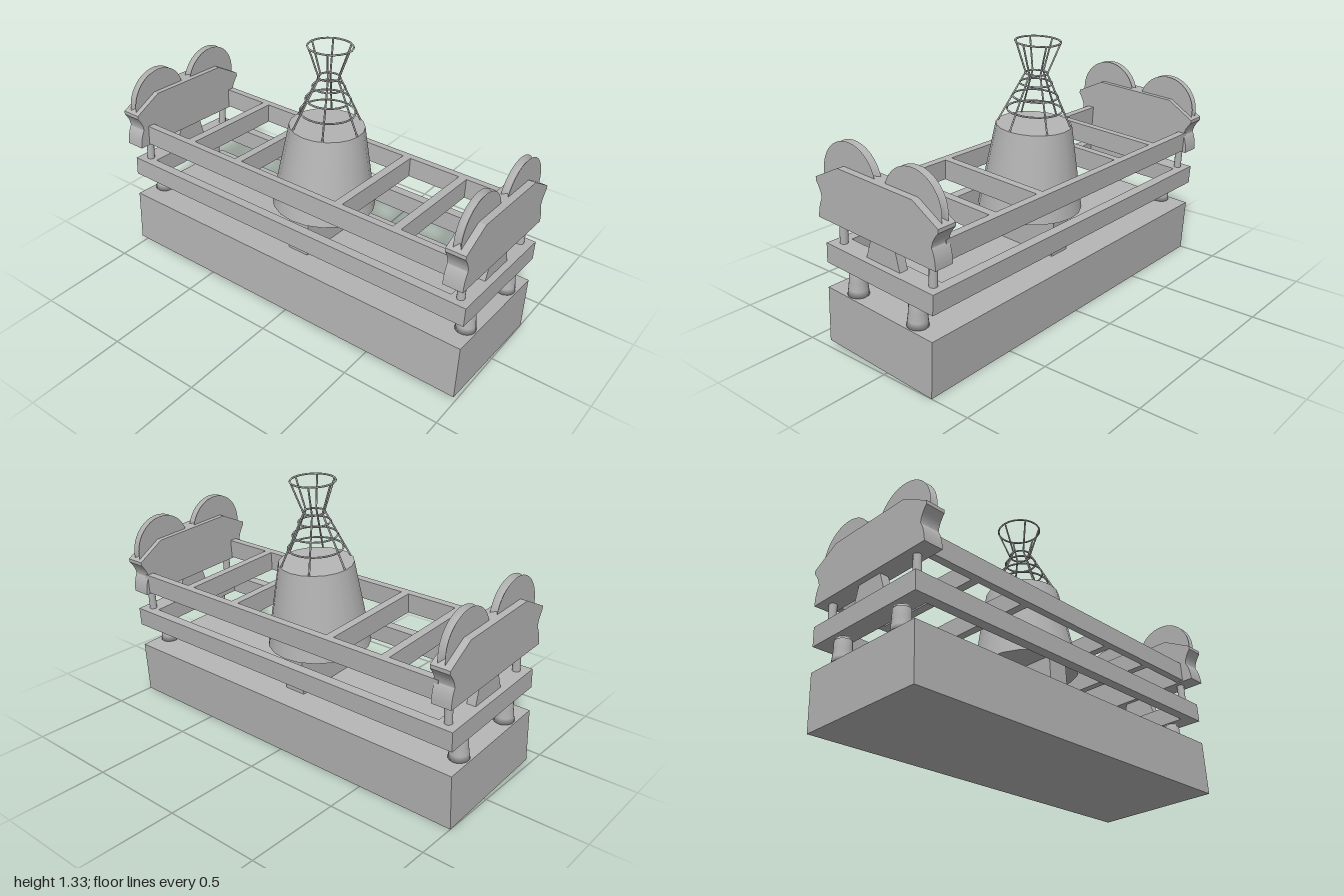
import * as THREE from 'three';

export function createModel() {
  const root = new THREE.Group();
  root.name = 'tiltedApparatus';
  const grey = new THREE.MeshStandardMaterial({ color: 0xb4b4b4 });
  grey.name = 'plain grey';

  // Everything sits in a group that leans back slightly
  const body = new THREE.Group();
  body.name = 'leaningBody';
  body.rotation.x = -0.061;
  body.position.set(0, 0.02, 0.0325);
  root.add(body);

  function add(name, geo, x = 0, y = 0, z = 0) {
    const m = new THREE.Mesh(geo, grey);
    m.name = name;
    m.position.set(x, y, z);
    body.add(m);
    return m;
  }
  // Box given by its extents
  function box(name, x0, x1, y0, y1, z0, z1) {
    return add(name, new THREE.BoxGeometry(x1 - x0, y1 - y0, z1 - z0),
      (x0 + x1) / 2, (y0 + y1) / 2, (z0 + z1) / 2);
  }
  // Side outline (z, y) given a thickness across x
  function sidePlate(shape, depth) {
    const g = new THREE.ExtrudeGeometry(shape, { depth, bevelEnabled: false, curveSegments: 8 });
    g.translate(0, 0, -depth / 2);
    g.rotateY(-Math.PI / 2);
    return g;
  }
  const points = (list) => list.map(([a, b]) => new THREE.Vector2(a, b));

  // Base block and central pedestal
  box('baseBlock', -1, 1, 0, 0.276, -0.328, 0.328);
  box('pedestal', -0.058, 0.058, 0.276, 0.48, -0.2, 0.2);

  // Lower frame
  for (const s of [-1, 1]) {
    box('lowerSideRail', -1, 1, 0.4, 0.496, s * 0.305 - 0.025, s * 0.305 + 0.025);
    box('lowerEndRail', s * 0.95 - 0.05, s * 0.95 + 0.05, 0.4, 0.496, -0.28, 0.28);
  }

  // Upper frame with cross bars
  for (const s of [-1, 1]) {
    box('upperSideRail', -0.92, 0.92, 0.612, 0.712, s * 0.303 - 0.019, s * 0.303 + 0.019);
  }
  for (const x of [-0.626, -0.316, 0.289, 0.605]) {
    box('crossBar', x - 0.021, x + 0.021, 0.612, 0.712, -0.286, 0.286);
  }

  // End assemblies
  const footGeo = new THREE.LatheGeometry(points([
    [0, 0], [0.049, 0], [0.045, 0.03], [0.041, 0.07], [0.04, 0.113],
    [0.034, 0.113], [0.034, 0.126], [0, 0.126]]), 24);
  const postGeo = new THREE.CylinderGeometry(0.019, 0.019, 0.13, 16);
  const wheelGeo = new THREE.LatheGeometry(points([
    [0, -0.018], [0.167, -0.018], [0.167, -0.018], [0.14, 0],
    [0.167, 0.018], [0.167, 0.018], [0, 0.018]]), 48);
  wheelGeo.rotateZ(Math.PI / 2);

  const cheek = new THREE.Shape();
  cheek.moveTo(-0.359, 0.605);
  cheek.lineTo(0.359, 0.605);
  cheek.quadraticCurveTo(0.357, 0.665, 0.336, 0.7);
  cheek.quadraticCurveTo(0.338, 0.735, 0.371, 0.775);
  cheek.lineTo(0.371, 0.793);
  cheek.lineTo(0.226, 0.872);
  cheek.lineTo(-0.226, 0.872);
  cheek.lineTo(-0.371, 0.793);
  cheek.lineTo(-0.371, 0.775);
  cheek.quadraticCurveTo(-0.338, 0.735, -0.336, 0.7);
  cheek.quadraticCurveTo(-0.357, 0.665, -0.359, 0.605);
  const cheekGeo = sidePlate(cheek, 0.098);
  const bracketGeo = sidePlate(new THREE.Shape(points([
    [-0.105, 0.49], [0.105, 0.49], [0.067, 0.615], [-0.067, 0.615]])), 0.045);

  for (const sx of [-1, 1]) {
    add('endBlock', cheekGeo, sx * 0.949, 0, 0.018);
    add('endBracket', bracketGeo, sx * 0.945, 0, 0);
    for (const sz of [-1, 1]) {
      add('foot', footGeo, sx * 0.945, 0.276, sz * 0.188);
      add('post', postGeo, sx * 0.945, 0.555, sz * 0.277);
      add('groovedWheel', wheelGeo, sx * 0.945, 0.822, 0.018 + sz * 0.191);
    }
  }

  // Central tapered drum
  add('taperedDrum', new THREE.CylinderGeometry(0.184, 0.257, 0.42, 20), 0, 0.69, 0);

  // Wire cage: hoops and six bent legs
  for (const [r, y] of [[0.133, 0.972], [0.108, 1.037], [0.077, 1.102], [0.052, 1.15], [0.107, 1.302]]) {
    const hoop = add('cageHoop', new THREE.TorusGeometry(r, 0.0045, 6, 32), 0, y, 0);
    hoop.rotation.x = Math.PI / 2;
  }
  function rod(name, a, b) {
    const m = add(name, new THREE.CylinderGeometry(0.0045, 0.0045, a.distanceTo(b), 6));
    m.position.copy(a).add(b).multiplyScalar(0.5);
    m.quaternion.setFromUnitVectors(new THREE.Vector3(0, 1, 0), b.clone().sub(a).normalize());
  }
  for (let i = 0; i < 6; i++) {
    const t = i * Math.PI / 3;
    const at = (r, y) => new THREE.Vector3(r * Math.cos(t), y, r * Math.sin(t));
    rod('cageLowerLeg', at(0.178, 0.897), at(0.052, 1.15));
    rod('cageUpperLeg', at(0.052, 1.15), at(0.107, 1.302));
  }
  return root;
}
